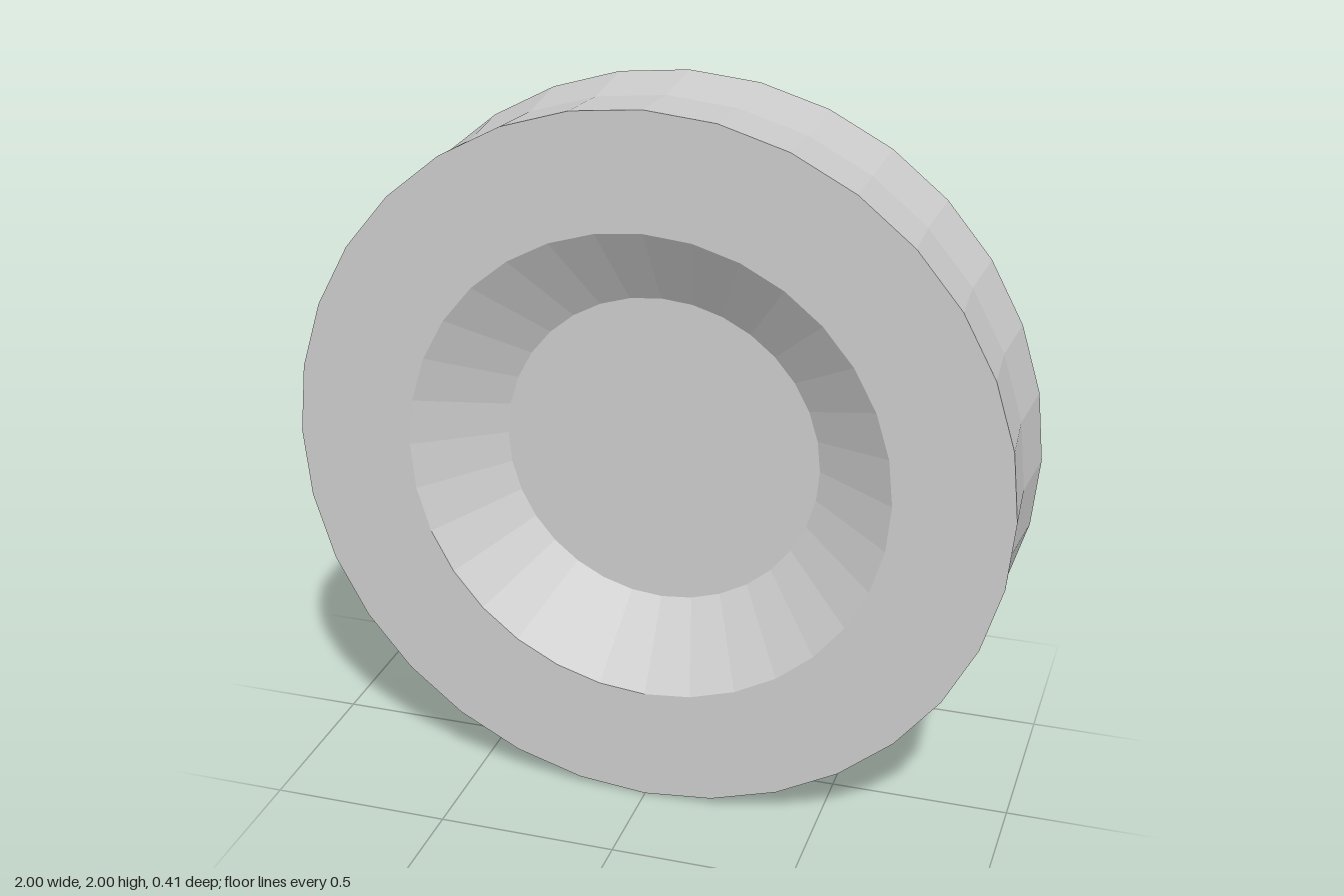
import * as THREE from 'three';

export function createModel() {
  const group = new THREE.Group();
  group.name = 'wheel';

  const half = 0.205;   // half thickness
  const floor = 0.048;  // half thickness of the web between the two recesses

  // Half profile (radius, depth): recess floor, sloped recess wall, flat rim face
  const side = [[0, floor], [0.445, floor], [0.675, half], [1, half]];
  const profile = [
    ...side.map(([r, d]) => new THREE.Vector2(r, -d)),
    new THREE.Vector2(0.984, 0), // slightly pinched tread
    ...side.map(([r, d]) => new THREE.Vector2(r, d)).reverse(),
  ];

  // Faceted disc, turned so that its axle runs along z
  const geometry = new THREE.LatheGeometry(profile, 32);
  geometry.rotateX(Math.PI / 2);
  const disc = new THREE.Mesh(
    geometry,
    new THREE.MeshStandardMaterial({ color: 0xcccccc, flatShading: true })
  );
  disc.name = 'recessedDisc';
  disc.position.y = 1;
  group.add(disc);

  return group;
}
